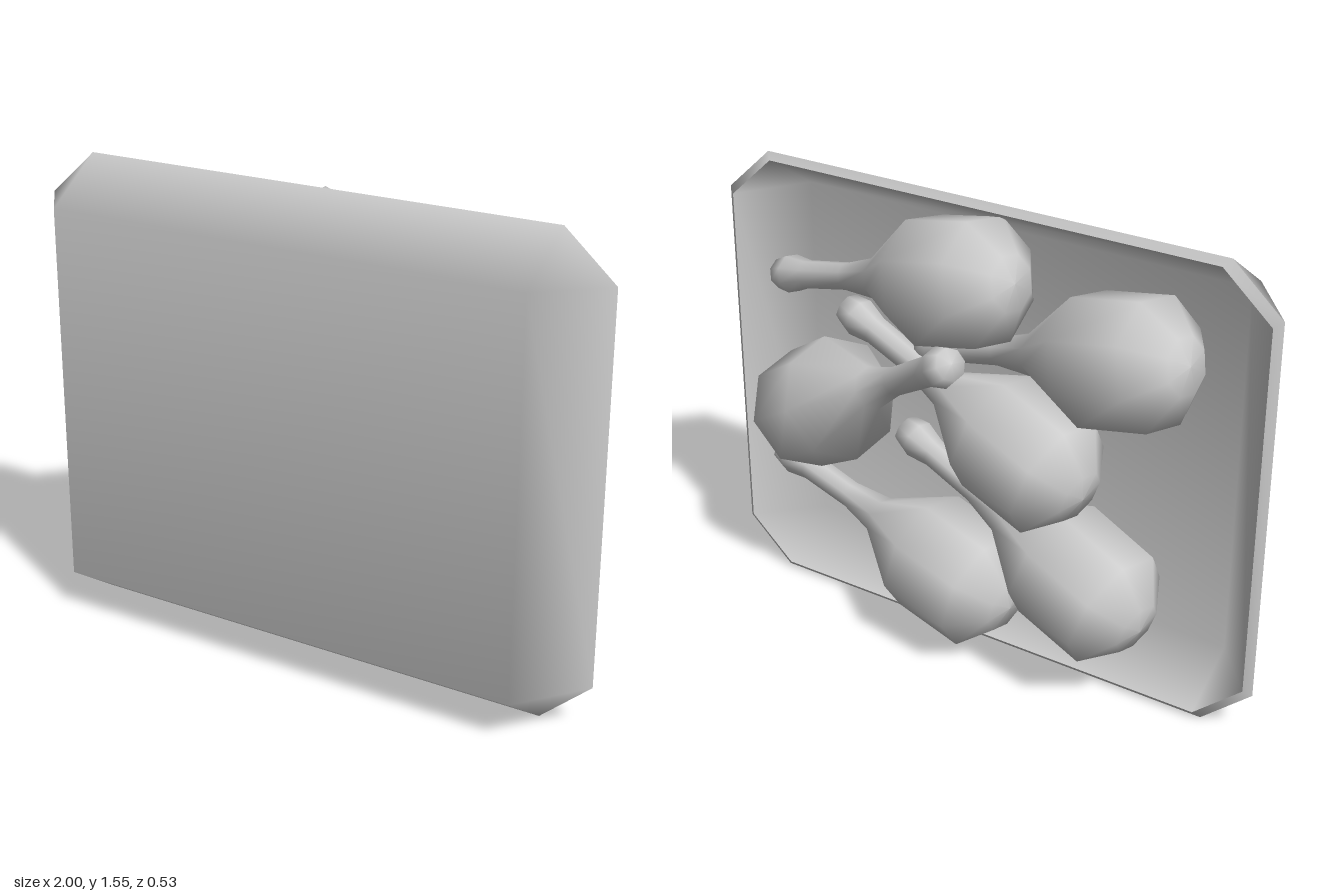
import * as THREE from 'three';
import { mergeVertices } from 'three/addons/utils/BufferGeometryUtils.js';

const grey = new THREE.MeshStandardMaterial({ color: 0xcccccc });
const MID_Y = 0.775;

// Rectangle with cut corners, counter-clockwise as seen from +z (cut 0 = plain rectangle)
function ring(hx, hy, cx, cy, z) {
  const corners = [[1, 1], [-1, 1], [-1, -1], [1, -1]];
  return corners.flatMap(([sx, sy], k) => {
    const side = [sx * hx, MID_Y + sy * (hy - cy), z];
    const end = [sx * (hx - cx), MID_Y + sy * hy, z];
    return k % 2 ? [end, side] : [side, end];
  });
}

// Smooth skin through a list of rings, with optional flat ends
function skin(rings, capFirst, capLast) {
  const pos = [];
  const tri = (...pts) => pts.forEach((p) => pos.push(...p));
  for (let r = 0; r < rings.length - 1; r++) {
    const a = rings[r], b = rings[r + 1];
    for (let i = 0; i < 8; i++) {
      const j = (i + 1) % 8;
      tri(a[i], b[i], a[j]);
      tri(b[i], b[j], a[j]);
    }
  }
  for (let i = 1; i < 7; i++) {
    const f = rings[0], l = rings[rings.length - 1];
    if (capFirst) tri(f[0], f[i], f[i + 1]);
    if (capLast) tri(l[0], l[i + 1], l[i]);
  }
  let g = new THREE.BufferGeometry();
  g.setAttribute('position', new THREE.Float32BufferAttribute(pos, 3));
  g = mergeVertices(g);
  g.computeVertexNormals();
  return g;
}

function add(parent, geometry, name) {
  const mesh = new THREE.Mesh(geometry, grey);
  mesh.name = name;
  parent.add(mesh);
  return mesh;
}

function makeTray() {
  const tray = new THREE.Group();
  tray.name = 'tray';
  const base = ring(0.825, 0.635, 0, 0, 0.265);
  const lip = ring(1, 0.775, 0.17, 0.15, 0.055);
  const rim = ring(0.975, 0.752, 0.165, 0.145, 0.035);
  const floor = ring(0.81, 0.62, 0, 0, 0.24);
  add(tray, skin([base, lip], true, false), 'trayOutside');
  add(tray, skin([lip, rim], false, false), 'trayRim');
  add(tray, skin([rim, floor], false, true), 'trayInside');
  return tray;
}

// Drumstick along +y: plump meat around the origin, thin bone with a knob at the end
const profile = [
  [0, -0.25], [0.09, -0.235], [0.205, -0.14], [0.21, 0.12], [0.07, 0.35],
  [0.046, 0.5], [0.048, 0.7], [0.066, 0.78], [0.052, 0.84], [0, 0.85],
].map(([r, t]) => new THREE.Vector2(r, t));

// Centre of the meat and direction of the bone
const drumsticks = [
  [[0.06, 1.295, 0.0], [0.8, -0.2, 0.13]],
  [[-0.53, 1.18, 0.0], [0.8, -0.2, 0.13]],
  [[0.62, 0.715, 0.03], [-0.66, 0.4, -0.235]],
  [[-0.2, 0.78, 0.0], [0.755, 0.24, 0.13]],
  [[0.07, 0.265, 0.0], [0.8, 0.16, 0.12]],
  [[-0.42, 0.385, 0.0], [0.745, 0.24, 0.14]],
];

export function createModel() {
  const model = new THREE.Group();
  model.name = 'drumstickTray';
  model.add(makeTray());

  const geometry = new THREE.LatheGeometry(profile, 8, Math.PI / 8);
  const up = new THREE.Vector3(0, 1, 0);
  drumsticks.forEach(([centre, dir], i) => {
    const stick = add(model, geometry, 'drumstick' + (i + 1));
    stick.position.set(...centre);
    stick.quaternion.setFromUnitVectors(up, new THREE.Vector3(...dir).normalize());
  });
  return model;
}
